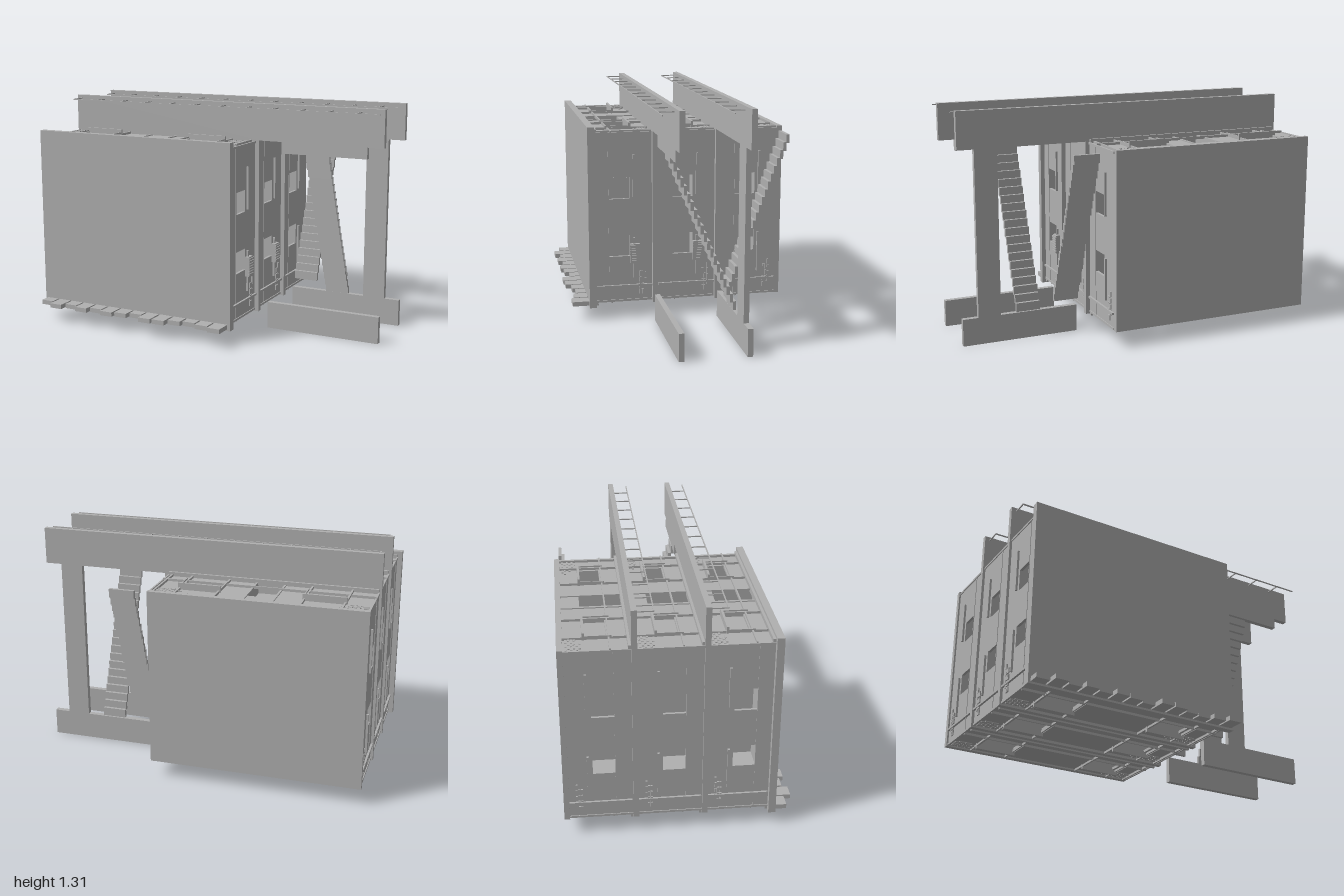
import * as THREE from 'three';

const concrete = new THREE.MeshStandardMaterial({ color: 0xb0b0b0 });
concrete.name = 'concrete grey';

export function createModel() {
  const root = new THREE.Group();
  root.name = 'apartmentBlock';

  const box = (name, x0, x1, y0, y1, z0, z1, parent = root) => {
    const m = new THREE.Mesh(new THREE.BoxGeometry(x1 - x0, y1 - y0, z1 - z0), concrete);
    m.position.set((x0 + x1) / 2, (y0 + y1) / 2, (z0 + z1) / 2);
    m.name = name;
    parent.add(m);
    return m;
  };
  const plate = (name, pts, z0, z1) => {
    const s = new THREE.Shape(pts.map(p => new THREE.Vector2(...p)));
    const g = new THREE.ExtrudeGeometry(s, { depth: z1 - z0, bevelEnabled: false });
    const m = new THREE.Mesh(g, concrete);
    m.position.z = z0;
    m.name = name;
    root.add(m);
  };

  // End slabs
  box('frontSlab', -1, 0.25, 0.075, 1.13, 0.475, 0.515);
  box('backSlab', -0.98, 0.225, 0.095, 1.105, -0.625, -0.595);

  // Middle slabs with gallery band and detached or joined lower band
  plate('galleryFront', [[-0.985, 0.09], [0.25, 0.09], [0.25, 1.1], [0.4, 1.1], [0.4, 1.035],
    [0.895, 1.035], [0.895, 1.1], [0.99, 1.1], [0.99, 1.31], [-0.985, 1.31]], 0.115, 0.145);
  box('lowerBandFront', 0.31, 0.985, 0, 0.155, 0.115, 0.145);
  plate('galleryBack', [[-0.985, 0.09], [0.25, 0.09], [0.25, 1.1], [0.765, 1.1], [0.765, 0.155],
    [0.31, 0.155], [0.31, 0], [0.985, 0], [0.985, 0.155], [0.895, 0.155], [0.895, 1.1],
    [0.99, 1.1], [0.99, 1.31], [-0.985, 1.31]], -0.255, -0.225);

  // Gallery railings
  [0.145, -0.225].forEach(z => {
    const rail = new THREE.Group();
    rail.name = 'railing';
    root.add(rail);
    box('handrail', -0.955, 0.99, 1.287, 1.293, z + 0.083, z + 0.089, rail);
    for (let i = 0; i < 12; i++) {
      const x = 0.86 - i * 0.165;
      box('railPost', x - 0.003, x + 0.003, 1.287, 1.293, z, z + 0.086, rail);
    }
  });

  // Stair flights
  const stair = (x0, x1, zA, zB, yA, yB) => {
    const n = 20, g = new THREE.Group();
    g.name = 'stairs';
    root.add(g);
    for (let i = 0; i < n; i++) {
      const z = zA + (zB - zA) * i / (n - 1), y = yA + (yB - yA) * i / (n - 1);
      box('step', x0, x1, y - 0.025, y + 0.025, z - 0.009, z + 0.009, g);
    }
  };
  stair(0.53, 0.67, 0.118, -0.235, 1.015, 0.18);
  stair(0.31, 0.455, -0.268, -0.588, 0.225, 1.065);

  // Wall made of bands and piers around a row of openings
  const wall = (name, put, a0, a1, z0, z1, holes, h0, h1) => {
    put(name, a0, a1, z0, h0);
    put(name, a0, a1, h1, z1);
    let a = a0;
    [...holes, [a1, a1]].forEach(([s, e]) => {
      put(name, a, s, h0, h1);
      a = e;
    });
  };

  const L = -0.97, R = 0.225, B = 0.105, T = 1.09;
  const sideWindows = [[0.37, 0.495], [0.71, 0.835]];
  const longWindows = [[-0.83, -0.61], [-0.14, 0.06]];

  const storey = (z0, z1, hasUnit) => {
    const g = new THREE.Group();
    g.name = 'storey';
    root.add(g);

    // Short side walls
    [[L, L + 0.015], [R - 0.015, R]].forEach(([x0, x1]) =>
      wall('sideWall', (n, a, b, c, d) => box(n, x0, x1, a, b, c, d, g),
        B, T, z0, z1, sideWindows, z0 + 0.13, z0 + 0.25));

    // Lower long wall
    const low = (n, a, b, c, d) => box(n, a, b, B, B + 0.015, c, d, g);
    wall('lowerWall', low, L, R, z0, z1, longWindows, z0 + 0.11, z0 + 0.225);

    // Upper long wall in two halves around a recessed bay
    const up = (n, a, b, c, d) => box(n, a, b, T - 0.015, T, c, d, g);
    wall('upperWall', up, L, -0.455, z0, z1, [longWindows[0]], z0 + 0.11, z0 + 0.225);
    wall('upperWall', up, -0.295, R, z0, z1, [longWindows[1]], z0 + 0.11, z0 + 0.225);
    box('bayBack', -0.455, -0.295, T - 0.075, T - 0.06, z0, z1, g);
    box('bayParapet', -0.455, -0.295, T - 0.015, T, z0, z0 + 0.1, g);
    [-0.455, -0.295].forEach(x => {
      box('bayCheek', x - 0.006, x + 0.006, T - 0.075, T + 0.006, z0, z1, g);
    });

    // Inner partitions
    box('partition', -0.61, -0.14, 0.78, 0.85, z0, z1, g);
    box('partition', -0.46, -0.44, B, 0.7, z0, z1, g);

    // Corner strips and cornice bars
    [L, R].forEach(x => [B, T].forEach(y => {
      box('cornerStrip', x - 0.005, x + 0.005, y - 0.006, y + 0.006, z0, z1, g);
    }));
    [B - 0.006, T + 0.006].forEach(y => {
      box('cornice', L, R, y - 0.018, y + 0.018, z1 - 0.014, z1, g);
      box('sillLine', L, R, y - 0.008, y + 0.008, z0 + 0.232, z0 + 0.24, g);
      [-0.83, -0.61, -0.14, 0.08, 0.2].forEach(x =>
        box('pilaster', x - 0.005, x + 0.005, y - 0.007, y + 0.007, z0, z1 - 0.014, g));
    });

    // Window ledges with side arms on the long walls
    [B - 0.012, T + 0.018].forEach(y => [[-0.84, -0.6], [-0.15, 0.09]].forEach(([a, b]) => {
      box('windowLedge', a, b, y - 0.02, y + 0.02, z0 + 0.1, z0 + 0.112, g);
      [a + 0.003, b - 0.003].forEach(x =>
        box('ledgeArm', x - 0.003, x + 0.003, y - 0.004, y + 0.004, z0 + 0.1, z0 + 0.25, g));
    }));

    // Side ledges, seams, pipe and brick patches
    [[L, -1], [R, 1]].forEach(([x, s]) => {
      const side = (n, out, y0, y1, c, d) =>
        box(n, Math.min(x, x + s * out), Math.max(x, x + s * out), y0, y1, c, d, g);
      side('sideLedge', 0.012, 0.24, 0.48, z0 + 0.1, z0 + 0.112);
      side('sideLedge', 0.012, 0.72, 0.965, z0 + 0.1, z0 + 0.112);
      side('seam', 0.003, B, T, z0 + 0.249, z0 + 0.252);
      side('pipe', 0.012, 0.187, 0.199, z0, z1 - 0.005);
      for (let i = 0; i < 12; i++) {
        const c = z0 + 0.035 + (i % 3) * 0.014, y = 0.14 + Math.floor(i / 3) * 0.036 + (i % 3 === 0 ? 0.03 : 0);
        side('brick', 0.007, y, y + 0.03, c, c + 0.011);
      }
    });
    [B - 0.006, T].forEach(y => [[-0.96, 1], [0.2, -1]].forEach(([x, s]) => {
      for (let r = 0; r < 6; r++) for (let i = 0; i < 4 - Math.floor(r / 2); i++) {
        const c = x + s * (0.02 + i * 0.042 + (r % 2) * 0.02), z = z0 + 0.012 + r * 0.014;
        box('brick', c - 0.018, c + 0.018, y, y + 0.006, z, z + 0.011, g);
      }
    }));

    // Slatted cooling unit
    if (hasUnit) {
      box('coolingUnit', R, R + 0.025, 0.33, 0.445, z0 + 0.075, z0 + 0.13, g);
      for (let i = 0; i < 7; i++) {
        const y = 0.337 + i * 0.015;
        box('unitSlat', R + 0.025, R + 0.03, y, y + 0.01, z0 + 0.072, z0 + 0.133, g);
      }
    }
  };
  storey(0.145, 0.475, true);
  storey(-0.225, 0.115, true);
  storey(-0.595, -0.255, false);

  // Uneven row of blocks along the front slab
  [0.57, 0.61, 0.58, 0.605, 0.58, 0.605, 0.59, 0.565, 0.615, 0.61, 0.58, 0.565, 0.585, 0.605]
    .forEach((z, i) => {
      const x = -0.985 + i * 0.0877;
      box('edgeBlock', x, x + 0.077, 0.086, 0.112, 0.515, z + 0.007);
    });

  return root;
}
